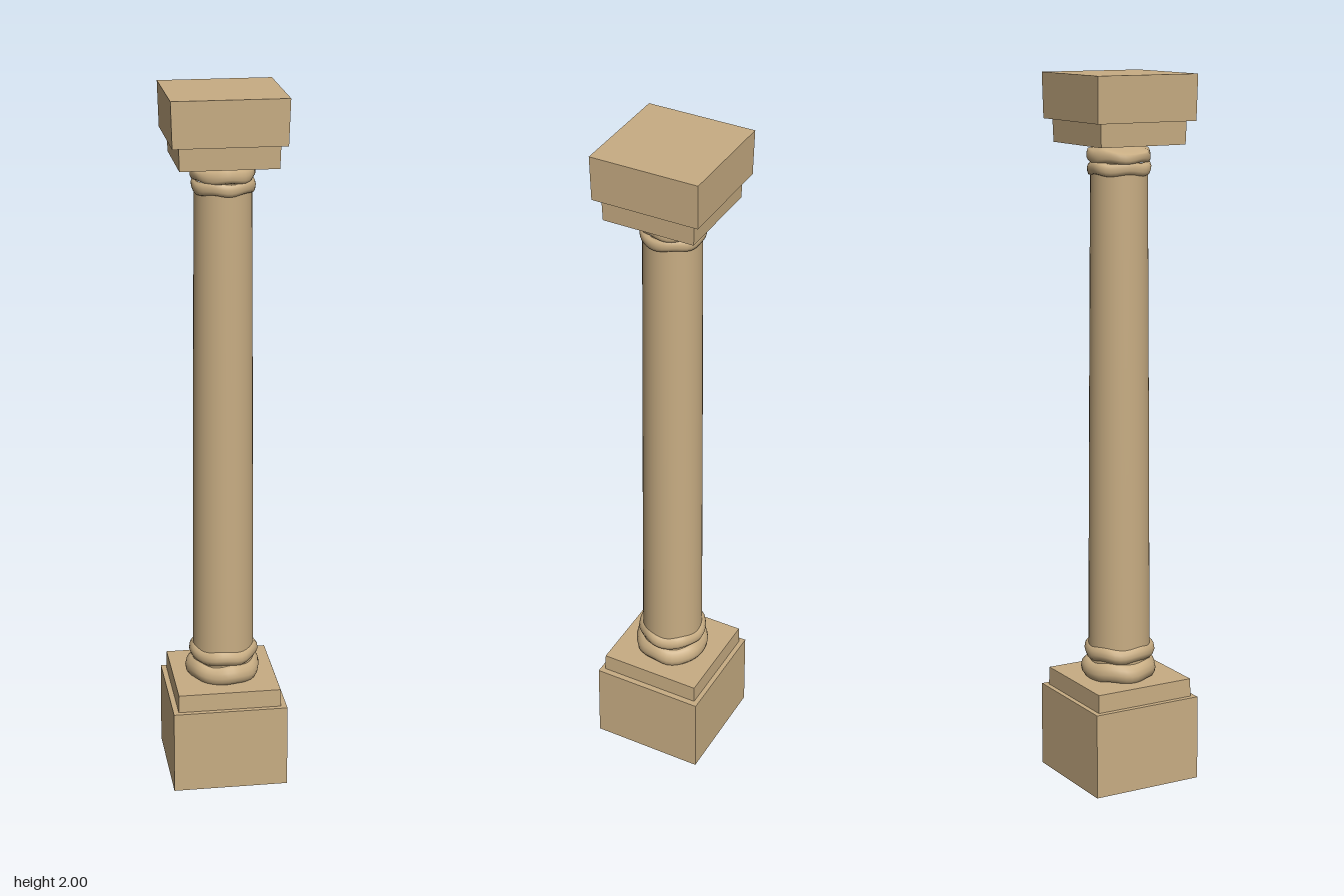
import * as THREE from 'three';

export function createModel() {
  const column = new THREE.Group();
  column.name = 'column';
  const stone = new THREE.MeshStandardMaterial({ color: 0xc8ad83 });
  stone.name = 'sandstone';

  const add = (name, geometry) => {
    const mesh = new THREE.Mesh(geometry, stone);
    mesh.name = name;
    column.add(mesh);
    return mesh;
  };

  // Square block from y0 to y1, slightly tapered: half widths at bottom and top
  const block = (name, y0, y1, bottom, top, x = 0, z = 0) => {
    const g = new THREE.BoxGeometry(2, y1 - y0, 2);
    const p = g.attributes.position;
    for (let i = 0; i < p.count; i++) {
      const [w, d] = p.getY(i) < 0 ? bottom : top;
      p.setX(i, p.getX(i) * w);
      p.setZ(i, p.getZ(i) * d);
    }
    g.computeVertexNormals();
    add(name, g).position.set(x, (y0 + y1) / 2, z);
  };

  // Turned part with an optional rule that weathers its vertices
  const turned = (name, profile, rule) => {
    const g = new THREE.LatheGeometry(profile.map(([r, y]) => new THREE.Vector2(r, y)), 40);
    if (rule) {
      const p = g.attributes.position;
      const v = new THREE.Vector3();
      for (let i = 0; i < p.count; i++) {
        rule(v.fromBufferAttribute(p, i));
        p.setXYZ(i, v.x, v.y, v.z);
      }
      g.computeVertexNormals();
      // Join the normals along the seam
      const n = g.attributes.normal;
      const rows = profile.length;
      const last = 40 * rows;
      for (let j = 0; j < rows; j++) {
        const m = new THREE.Vector3().fromBufferAttribute(n, j);
        m.add(v.fromBufferAttribute(n, last + j)).normalize();
        n.setXYZ(j, m.x, m.y, m.z);
        n.setXYZ(last + j, m.x, m.y, m.z);
      }
    }
    add(name, g);
  };

  // Gentle lumps worn into the round mouldings
  const worn = (phase) => (v) => {
    const a = Math.atan2(v.x, v.z);
    const s = 1 + 0.018 * Math.sin(3 * a + phase) + 0.012 * Math.sin(7 * a + 2 * phase);
    v.x *= s;
    v.z *= s;
    v.y += 0.003 * Math.sin(5 * a + phase) * Math.min(1, Math.hypot(v.x, v.z) / 0.08);
  };

  // Pedestal
  block('pedestal', 0, 0.243, [0.165, 0.165], [0.164, 0.164]);
  block('plinth', 0.24, 0.295, [0.148, 0.15], [0.147, 0.149], -0.001);

  // Base mouldings
  turned('lowerBaseRing', [
    [0.08, 0.29], [0.098, 0.295], [0.105, 0.306], [0.107, 0.318], [0.104, 0.333],
    [0.095, 0.343], [0.086, 0.348], [0.08, 0.349],
  ], worn(0.6));
  turned('upperBaseRing', [
    [0.08, 0.345], [0.088, 0.35], [0.096, 0.357], [0.1, 0.368], [0.098, 0.38],
    [0.092, 0.389], [0.084, 0.392],
  ], worn(2.1));

  // Tapered shaft
  turned('shaft', [
    [0.088, 0.34], [0.0865, 0.6], [0.085, 0.9], [0.083, 1.2], [0.081, 1.5], [0.079, 1.76],
  ]);

  // Capital mouldings
  turned('neckRing', [
    [0.077, 1.726], [0.084, 1.729], [0.087, 1.738], [0.088, 1.748],
    [0.085, 1.757], [0.077, 1.763],
  ], worn(4));

  // Rounded cushion whose top slopes down to both sides from a central ridge
  const wornCushion = worn(1.2);
  turned('capitalCushion', [
    [0.076, 1.758], [0.084, 1.762], [0.088, 1.77], [0.088, 1.782], [0.084, 1.796],
    [0.06, 1.806], [0.03, 1.808], [0, 1.81],
  ], (v) => {
    wornCushion(v);
    v.y = Math.min(v.y, 1.81 - 0.3 * Math.abs(v.x));
  });

  // Stepped square top
  block('lowerAbacus', 1.81, 1.876, [0.134, 0.131], [0.136, 0.133]);
  block('upperAbacus', 1.874, 2, [0.154, 0.152], [0.158, 0.154], -0.001);

  return column;
}
